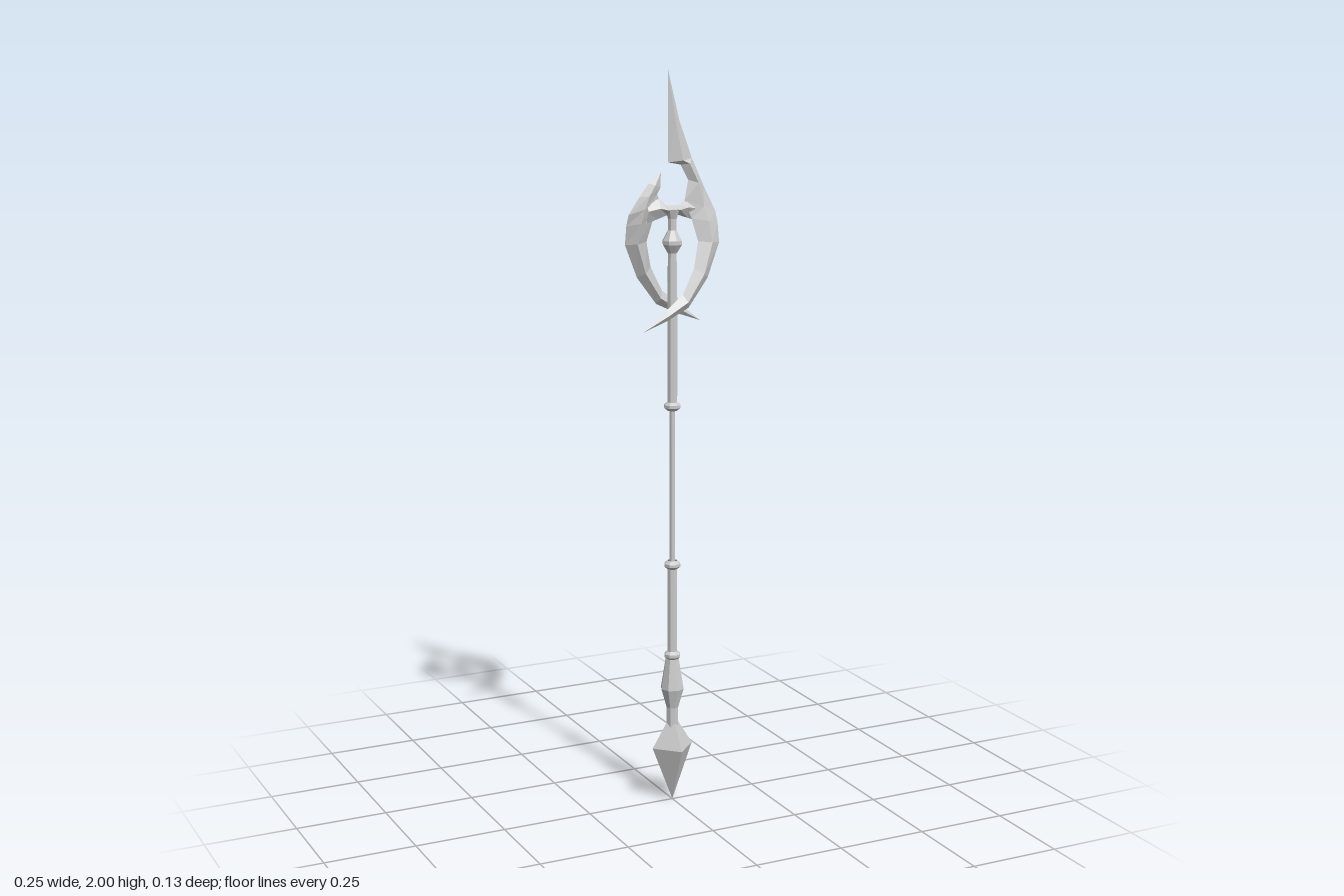
import * as THREE from 'three';

const material = new THREE.MeshStandardMaterial({ color: 0xcccccc, flatShading: true, side: THREE.DoubleSide });

function addMesh(group, name, geometry) {
  const mesh = new THREE.Mesh(geometry, material);
  mesh.name = name;
  group.add(mesh);
  return mesh;
}

// Faceted turned part from [radius, height] pairs, bottom to top
function turned(profile, sides) {
  return new THREE.LatheGeometry(profile.map(([r, y]) => new THREE.Vector2(r, y)), sides).toNonIndexed();
}

// Blade with a diamond section; station = [outerX, outerY, innerX, innerY, z, halfThickness]
function blade(stations) {
  const rings = stations.map(([ox, oy, ix, iy, z, t]) => {
    const mx = ox + (ix - ox) * 0.45, my = oy + (iy - oy) * 0.45;
    return [[ox, oy, z], [mx, my, z + t], [ix, iy, z], [mx, my, z - t]];
  });
  const positions = [];
  for (let i = 0; i < rings.length - 1; i++) {
    for (let j = 0; j < 4; j++) {
      const k = (j + 1) % 4;
      const a = rings[i][j], b = rings[i][k], c = rings[i + 1][k], d = rings[i + 1][j];
      positions.push(...a, ...b, ...c, ...a, ...c, ...d);
    }
  }
  const geometry = new THREE.BufferGeometry();
  geometry.setAttribute('position', new THREE.Float32BufferAttribute(positions, 3));
  geometry.computeVertexNormals();
  return geometry;
}

export function createModel() {
  const group = new THREE.Group();
  group.name = 'spear';

  // Four-sided spike at the foot
  addMesh(group, 'pommel', turned([[0, 0], [0.06, 0.157], [0.018, 0.225], [0.015, 0.235]], 4));

  // Grip swelling above the pommel
  addMesh(group, 'grip', turned([[0.017, 0.215], [0.017, 0.27], [0.033, 0.325], [0.019, 0.41]], 8));

  // Shaft: thick, thin, thick
  addMesh(group, 'lowerShaft', turned([[0.014, 0.4], [0.014, 0.68]], 8));
  addMesh(group, 'middleShaft', turned([[0.008, 0.67], [0.008, 1.12]], 8));
  addMesh(group, 'upperShaft', turned([[0.014, 1.11], [0.014, 1.4], [0.012, 1.53]], 8));

  // Collars between the shaft sections
  for (const y of [0.42, 0.676, 1.115]) {
    addMesh(group, 'collar', turned(
      [[0.013, y - 0.012], [0.023, y - 0.004], [0.023, y + 0.004], [0.013, y + 0.012]], 8));
  }

  // Bead and neck inside the head
  addMesh(group, 'bead', turned(
    [[0.013, 1.525], [0.027, 1.548], [0.027, 1.558], [0.012, 1.585], [0.012, 1.615], [0.02, 1.64], [0, 1.645]], 8));

  // Crescent arm shared by both blades, sweeping down and across the shaft
  const arm = [
    [0.124, 1.63, 0.034, 1.662, 0.004, 0.016],
    [0.127, 1.60, 0.050, 1.615, 0.012, 0.018],
    [0.126, 1.55, 0.064, 1.555, 0.023, 0.018],
    [0.085, 1.46, 0.045, 1.485, 0.038, 0.017],
    [0.025, 1.385, 0.008, 1.420, 0.047, 0.014],
    [-0.040, 1.355, -0.042, 1.384, 0.054, 0.009],
    [-0.112, 1.33, -0.112, 1.33, 0.058, 0],
  ];

  // Long blade with the point, on the left
  addMesh(group, 'longBlade', blade([
    [-0.012, 2.0, -0.012, 2.0, 0, 0],
    [0.020, 1.87, -0.012, 1.87, 0, 0.008],
    [0.057, 1.77, -0.012, 1.762, 0, 0.012],
    [0.062, 1.76, 0.024, 1.755, 0, 0.013],
    [0.090, 1.70, 0.046, 1.715, 0, 0.014],
    ...arm,
  ]));

  // Short blade, the same arm turned half way round
  addMesh(group, 'shortBlade', blade([
    [0.033, 1.737, 0.033, 1.737, 0, 0],
    [0.068, 1.71, 0.034, 1.698, 0, 0.009],
    [0.095, 1.675, 0.044, 1.68, 0, 0.013],
    ...arm,
  ])).rotation.y = Math.PI;

  // Dished bridge joining the two blades over the neck
  addMesh(group, 'bridge', blade([
    [-0.075, 1.665, -0.075, 1.605, 0, 0.014],
    [-0.038, 1.668, -0.045, 1.615, 0, 0.015],
    [-0.018, 1.65, -0.015, 1.625, 0, 0.016],
    [0.018, 1.65, 0.015, 1.625, 0, 0.016],
    [0.038, 1.668, 0.045, 1.615, 0, 0.015],
    [0.075, 1.665, 0.075, 1.605, 0, 0.014],
  ]));

  return group;
}
